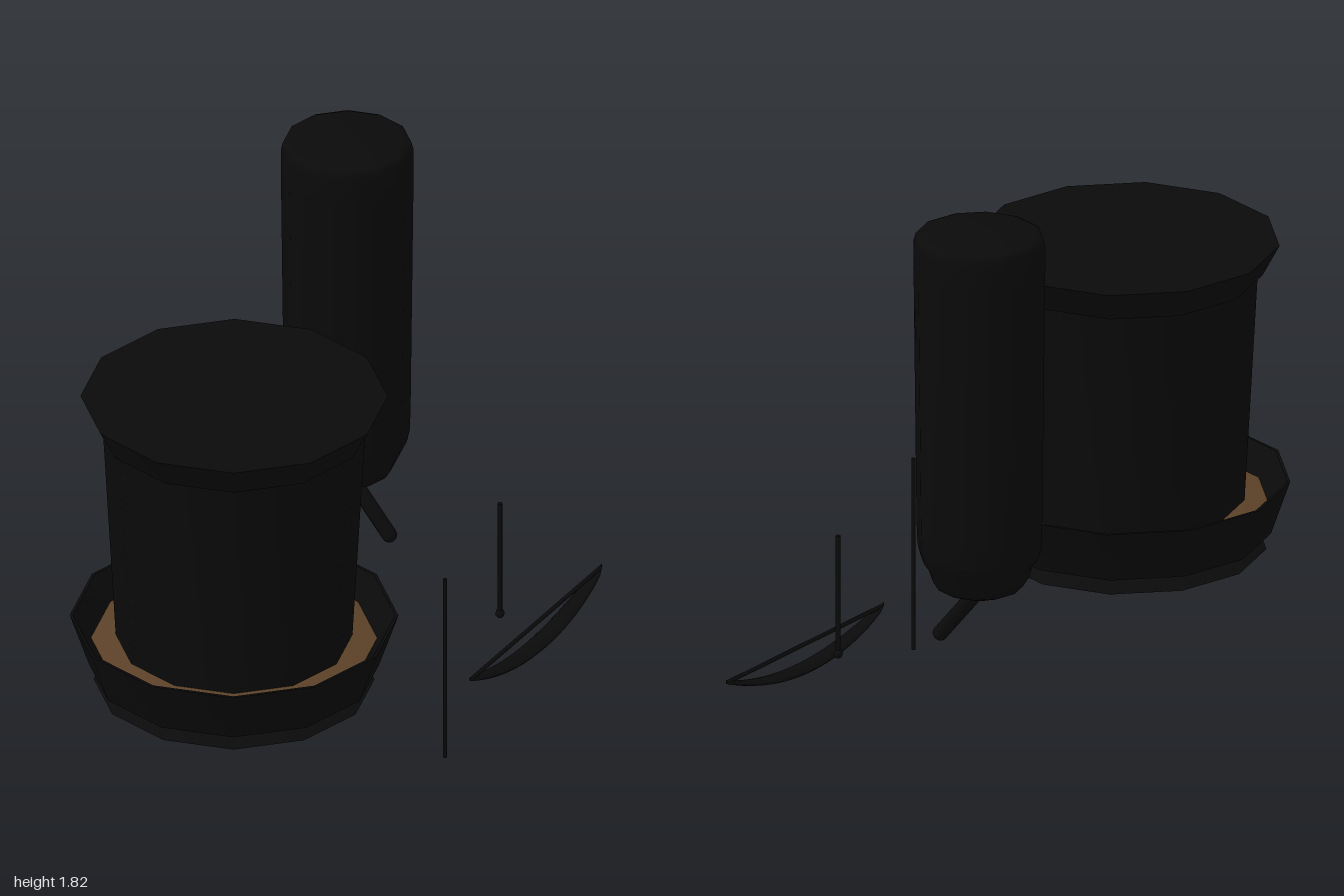
import * as THREE from 'three';
import { toCreasedNormals } from 'three/addons/utils/BufferGeometryUtils.js';

const black = new THREE.MeshStandardMaterial({ color: 0x0a0a0a });
const brown = new THREE.MeshStandardMaterial({ color: 0x5c4128 });

function addPart(parent, name, geometry, material = black, x = 0, y = 0, z = 0) {
  const mesh = new THREE.Mesh(geometry, material);
  mesh.name = name;
  mesh.position.set(x, y, z);
  parent.add(mesh);
  return mesh;
}

// Twelve-sided turned shape; the profile runs [radius, height] from bottom to top.
function turned(profile, crease = 0.6) {
  const points = profile.map(([r, y]) => new THREE.Vector2(r, y));
  return toCreasedNormals(new THREE.LatheGeometry(points, 12), crease);
}

// Straight round bar between two points.
function bar(a, b, radius, sides = 8) {
  return new THREE.TubeGeometry(new THREE.LineCurve3(a, b), 1, radius, sides, false);
}

// Curved perch: elliptical sections along z, widest in the middle, pointed at the ends.
function crescent(halfLength, steps = 24, sides = 10) {
  const positions = [], index = [];
  for (let i = 0; i <= steps; i++) {
    const s = (i / steps) * 2 - 1;
    const width = 0.003 + 0.032 * Math.sqrt(Math.max(0, 1 - s * s));
    const height = 0.007 + 0.005 * (1 - s * s);
    for (let j = 0; j < sides; j++) {
      const a = (j / sides) * Math.PI * 2;
      positions.push(Math.cos(a) * width, 0.125 + 0.085 * s * s + Math.sin(a) * height, s * halfLength);
      if (i < steps) {
        const p = i * sides + j, q = i * sides + (j + 1) % sides;
        index.push(p, q, p + sides, q, q + sides, p + sides);
      }
    }
  }
  // Close both ends
  const last = steps * sides;
  for (let j = 1; j < sides - 1; j++) {
    index.push(0, j + 1, j, last, last + j, last + j + 1);
  }
  const geometry = new THREE.BufferGeometry();
  geometry.setAttribute('position', new THREE.Float32BufferAttribute(positions, 3));
  geometry.setIndex(index);
  geometry.computeVertexNormals();
  return geometry;
}

export function createModel() {
  const model = new THREE.Group();
  model.name = 'feedingSet';

  // Seed feeder
  const feeder = new THREE.Group();
  feeder.name = 'feeder';
  feeder.position.set(-0.02, 0, 0.46);
  model.add(feeder);
  addPart(feeder, 'base', turned([[0, 0.36], [0.457, 0.36], [0.345, 0.418], [0, 0.418]]));
  addPart(feeder, 'tray', turned([
    [0, 0.415], [0.472, 0.415], [0.535, 0.6], [0.525, 0.6], [0.455, 0.5], [0.43, 0.44], [0, 0.44],
  ]));
  addPart(feeder, 'seed', turned([[0.468, 0.515], [0.38, 0.53], [0, 0.53]]), brown);
  addPart(feeder, 'container', turned([[0, 0.43], [0.38, 0.43], [0.429, 1.33], [0, 1.33]]));
  addPart(feeder, 'lid', turned([[0, 1.32], [0.445, 1.32], [0.5, 1.425], [0, 1.425]]));

  // Water bottle with a slanted spout
  const bottle = new THREE.Group();
  bottle.name = 'waterBottle';
  bottle.position.set(-0.195, 0, -0.573);
  model.add(bottle);
  addPart(bottle, 'bottleBody', turned([
    [0, 0.575], [0.115, 0.575], [0.143, 0.588], [0.163, 0.62], [0.172, 0.655], [0.194, 0.685],
    [0.203, 0.725], [0.206, 0.8], [0.216, 1.7], [0.216, 1.785], [0.209, 1.81], [0.187, 1.82], [0, 1.82],
  ], 0.9));
  addPart(bottle, 'bottleNeck', new THREE.CylinderGeometry(0.047, 0.042, 0.04, 12), black, 0, 0.565, 0);
  const spoutTop = new THREE.Vector3(0, 0.57, 0);
  const spoutTip = new THREE.Vector3(0.158, 0.38, 0);
  addPart(bottle, 'spout', bar(spoutTop, spoutTip, 0.026, 12));
  addPart(bottle, 'spoutTip', new THREE.SphereGeometry(0.026, 12, 8), black, ...spoutTip.toArray());

  // Hanging rod with a small knob
  const rod = new THREE.Group();
  rod.name = 'hangingRod';
  rod.position.set(0.38, 0, -0.573);
  model.add(rod);
  addPart(rod, 'rod', new THREE.CylinderGeometry(0.008, 0.008, 0.42, 8), black, 0, 0.41, 0);
  addPart(rod, 'knob', new THREE.SphereGeometry(0.016, 8, 6), black, 0, 0.206, 0);

  // Free-standing thin rod
  addPart(model, 'thinRod', new THREE.CylinderGeometry(0.007, 0.007, 0.67, 8), black, 0.515, 0.335, 0.015);

  // Crescent swing perch with its straight crossbar
  const swing = new THREE.Group();
  swing.name = 'swing';
  swing.position.set(0.515, 0, -0.573);
  model.add(swing);
  addPart(swing, 'perch', crescent(0.425));
  addPart(swing, 'crossbar', bar(new THREE.Vector3(0, 0.207, -0.415), new THREE.Vector3(0, 0.207, 0.415), 0.007));

  return model;
}
